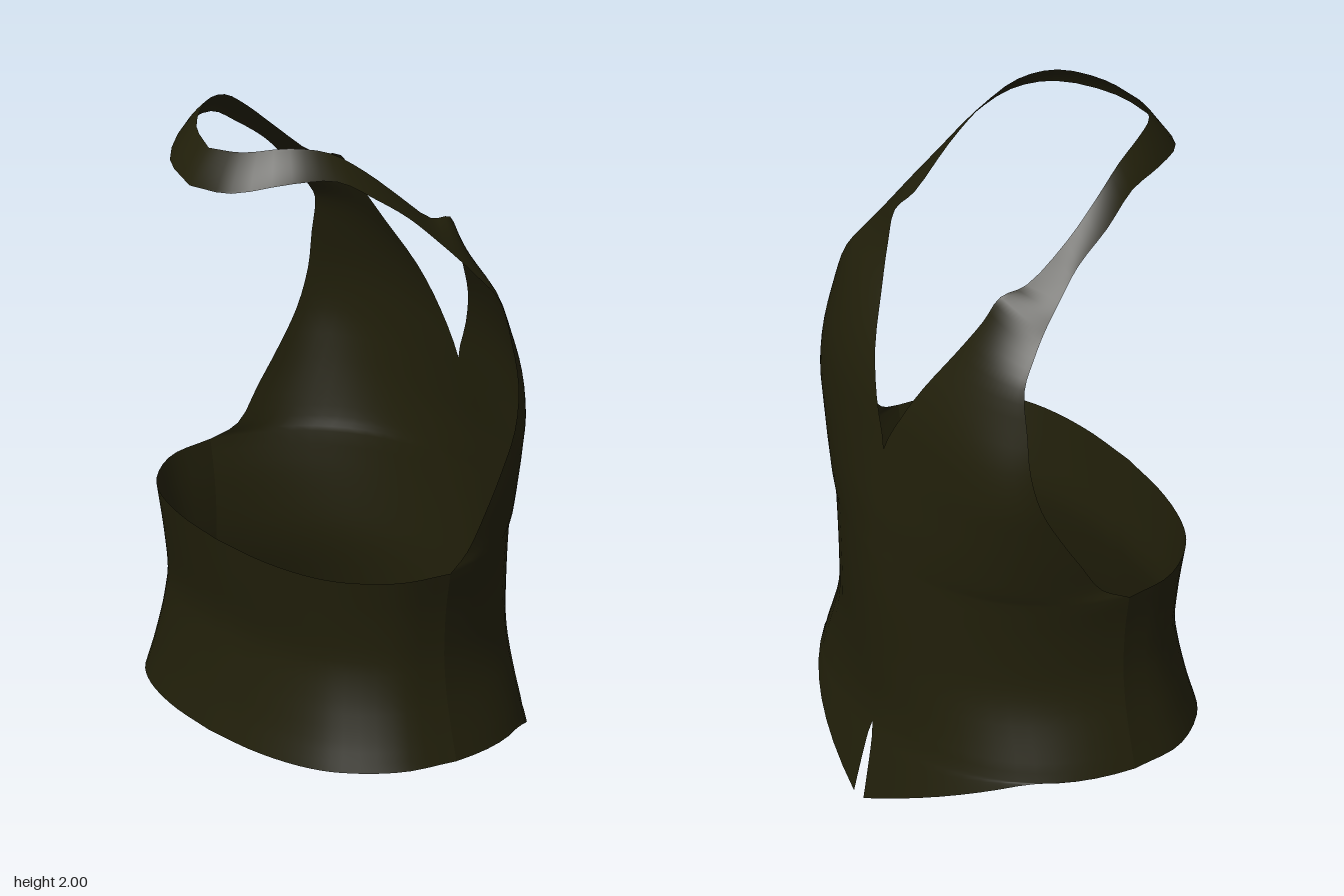
import * as THREE from 'three';
import { mergeVertices, mergeGeometries } from 'three/addons/utils/BufferGeometryUtils.js';

const V = (x, y, z) => new THREE.Vector3(x, y, z);
const { lerp, clamp, smoothstep } = THREE.MathUtils;
const N = 14; // steps across each back panel

// Sheet through rows of points, joined with its mirror image across x = 0
function mirroredSheet(rows) {
  const cols = rows[0].length;
  const half = (side) => {
    const pos = [], idx = [];
    rows.forEach((r) => r.forEach((p) => pos.push(p.x * side, p.y, p.z)));
    for (let i = 0; i < rows.length - 1; i++) {
      for (let j = 0; j < cols - 1; j++) {
        const a = i * cols + j, b = a + 1, c = a + cols, d = c + 1;
        if (side > 0) idx.push(a, c, b, b, c, d);
        else idx.push(a, b, c, b, d, c);
      }
    }
    const g = new THREE.BufferGeometry();
    g.setAttribute('position', new THREE.Float32BufferAttribute(pos, 3));
    g.setIndex(idx);
    return g;
  };
  const g = mergeVertices(mergeGeometries([half(1), half(-1)]), 1e-4);
  g.computeVertexNormals();
  return g;
}

// Curved row from the centre edge to the side edge
const bend = (inner, ctrl, outer) => new THREE.QuadraticBezierCurve3(inner, ctrl, outer).getPoints(N);

// Back half of the waist outline, fuller towards the hem
function backRow(w, y, zb, gap = 0) {
  const full = 1 - smoothstep(y, 0.228, 0.5);
  return bend(V(gap, y, zb), V(w * (0.85 + 0.1 * full), y, zb * (0.9 + 0.05 * full)), V(w, y, 0.02));
}

// Front half of the waist outline, from side to centre, as fractions
const frontOutline = new THREE.CatmullRomCurve3(
  [[1, 0.05], [0.95, 0.43], [0.77, 0.74], [0.6, 0.87], [0.33, 0.965], [0, 1]].map(([x, z]) => V(x, 0, z)));

export function createModel() {
  const cloth = new THREE.MeshStandardMaterial({ color: 0x211f0a, side: THREE.DoubleSide });
  cloth.name = 'dark olive cloth';
  const group = new THREE.Group();
  group.name = 'halterVest';
  const add = (name, rows) => {
    const mesh = new THREE.Mesh(mirroredSheet(rows), cloth);
    mesh.name = name;
    group.add(mesh);
  };

  // Waist levels: half width, front depth, back depth, with their heights
  const levels = new THREE.CatmullRomCurve3([
    V(0.57, 0.4, -0.45), V(0.548, 0.385, -0.452), V(0.54, 0.37, -0.45),
    V(0.55, 0.385, -0.447), V(0.575, 0.408, -0.444), V(0.598, 0.43, -0.45)]);
  const heights = new THREE.CatmullRomCurve3(
    [0.782, 0.66, 0.53, 0.42, 0.31, 0.228].map((y) => V(0, y, 0)));
  const waistFront = [], waistBack = [];
  for (let i = 0; i <= 15; i++) {
    const { x: w, y: zf, z: zb } = levels.getPoint(i / 15);
    const y = heights.getPoint(i / 15).y;
    const sag = 0.005 + 0.01 * i / 15;
    waistFront.push(frontOutline.getPoints(18).map((p) => V(p.x * w, y - sag * p.z ** 2, p.z * zf)));
    waistBack.push(backRow(w, y, zb));
  }
  waistFront.forEach((r, i) => r[0].copy(waistBack[i][N]));
  add('waistband', waistFront);

  // Pointed hem with a narrow centre slit
  const hem = [];
  for (let i = 1; i <= 6; i++) {
    const s = i / 6;
    hem.push(backRow(0.598, 0.228, -0.45, 0.023 * Math.sqrt(s)).map((p) => {
      const side = clamp((p.x - 0.02) / 0.48, 0, 1);
      return V(p.x, lerp(0.228, 0.228 * side, s), p.z - 0.046 * s * (1 - side));
    }));
  }

  // Halter panels and neck strap: centre edge, bend (x, z), side edge
  const stations = [
    [[0, 0.782, -0.45], [0.485, -0.405], [0.57, 0.782, 0.02]],
    [[0, 0.83, -0.446], [0.48, -0.41], [0.545, 0.82, -0.055]],
    [[0, 0.92, -0.44], [0.475, -0.415], [0.54, 0.92, -0.12]],
    [[0, 1.02, -0.427], [0.47, -0.415], [0.53, 1.02, -0.18]],
    [[0, 1.12, -0.413], [0.45, -0.413], [0.518, 1.13, -0.235]],
    [[0.06, 1.25, -0.395], [0.4, -0.397], [0.5, 1.25, -0.26]],
    [[0.12, 1.37, -0.36], [0.36, -0.36], [0.475, 1.37, -0.255]],
    [[0.185, 1.5, -0.295], [0.33, -0.305], [0.438, 1.49, -0.24]],
    [[0.235, 1.61, -0.24], [0.32, -0.238], [0.41, 1.56, -0.19]],
    [[0.26, 1.69, -0.2], [0.33, -0.175], [0.388, 1.62, -0.14]],
    [[0.276, 1.71, -0.125], [0.335, -0.095], [0.368, 1.69, -0.075]],
    [[0.29, 1.817, 0], [0.325, 0], [0.347, 1.765, 0]],
    [[0.28, 1.907, 0.1], [0.312, 0.1], [0.335, 1.845, 0.105]],
    [[0.25, 1.978, 0.2], [0.28, 0.21], [0.3, 1.912, 0.21]],
    [[0.2, 2.0, 0.3], [0.235, 0.32], [0.255, 1.92, 0.33]],
    [[0.11, 1.98, 0.395], [0.13, 0.435], [0.145, 1.885, 0.46]],
    [[0, 1.965, 0.432], [0, 0.475], [0, 1.868, 0.497]],
  ];
  const edge = (k) => new THREE.CatmullRomCurve3(stations.map((s) => (k === 1
    ? V(s[1][0], (s[0][1] + s[2][1]) / 2, s[1][1]) : V(...s[k]))));
  const [inner, ctrl, outer] = [0, 1, 2].map(edge);
  const steps = (stations.length - 1) * 3;
  const halter = [];
  for (let i = steps; i > 0; i--) {
    const [a, b, c] = [inner, ctrl, outer].map((e) => e.getPoint(i / steps));
    a.x = i <= 12 ? 0 : Math.max(a.x, 0); // panels meet below the V neck
    halter.push(bend(a, b, c));
  }
  add('halterPanelsAndHem', [...halter, ...waistBack, ...hem]);
  return group;
}
